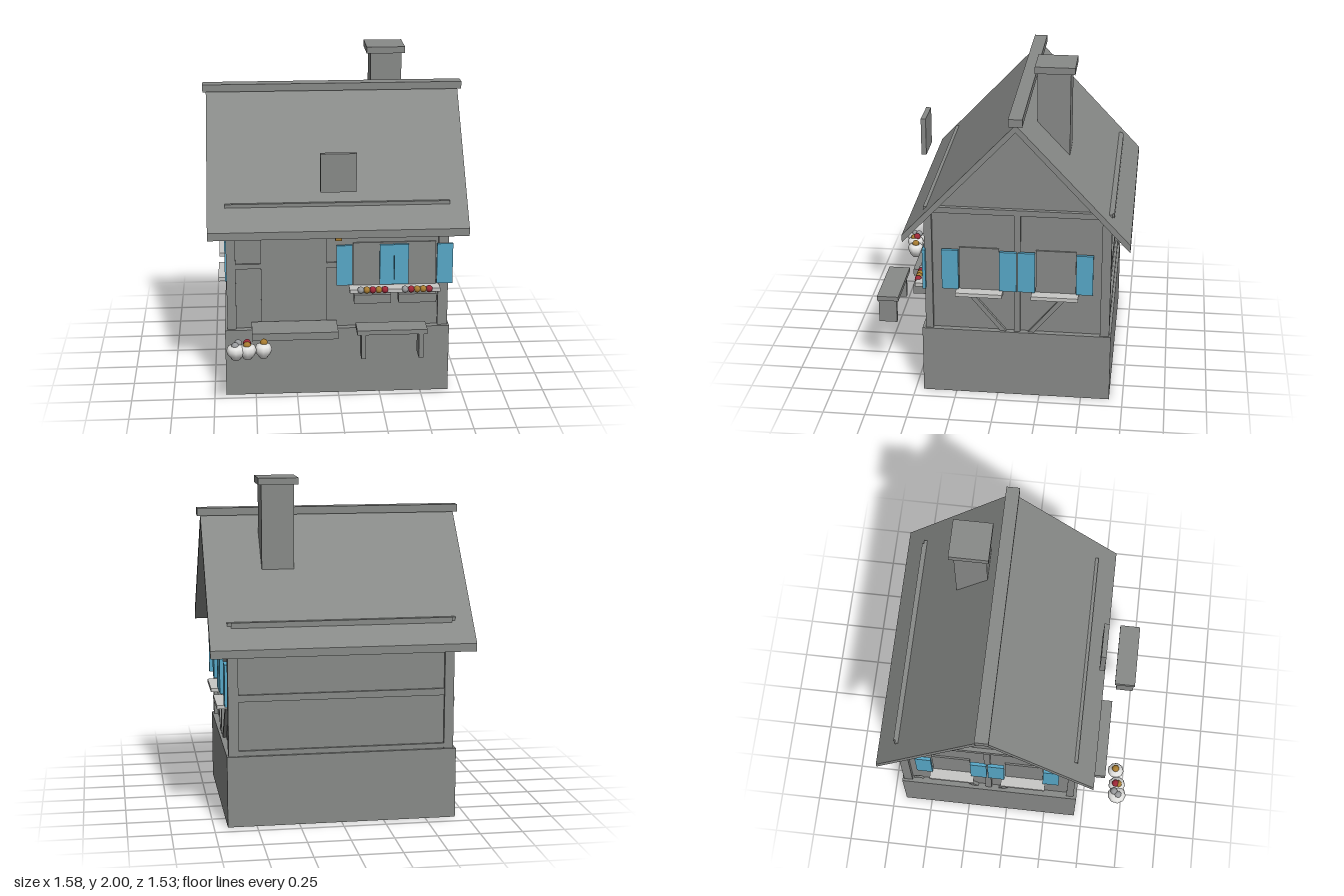
import * as THREE from 'three';

const mat = (name, color, extra = {}) => {
  const m = new THREE.MeshStandardMaterial({ color, ...extra });
  m.name = name;
  return m;
};

export function createModel() {
  const house = new THREE.Group();
  house.name = 'house';
  const grey = mat('stoneGrey', 0x888a88, { side: THREE.DoubleSide });
  const blue = mat('shutterBlue', 0x58a8c8);
  const pale = mat('sillPale', 0xc8c8c6);
  const white = mat('potWhite', 0xe2e2e0, { side: THREE.DoubleSide });
  const red = mat('flowerRed', 0xa02838);
  const gold = mat('flowerGold', 0xa87c30);
  const silver = mat('flowerGrey', 0x9a9c9e);

  const add = (name, geo, material) => {
    const m = new THREE.Mesh(geo, material);
    m.name = name;
    house.add(m);
    return m;
  };
  // Box given by its limits on each axis
  const box = (name, material, x0, x1, y0, y1, z0, z1) => {
    const m = add(name, new THREE.BoxGeometry(x1 - x0, y1 - y0, z1 - z0), material);
    m.position.set((x0 + x1) / 2, (y0 + y1) / 2, (z0 + z1) / 2);
    return m;
  };
  // Side profile given as [z, y] points, extruded along x
  const profile = (name, material, pts, x0, x1) => {
    const shape = new THREE.Shape(pts.map(([z, y]) => new THREE.Vector2(-z, y)));
    const geo = new THREE.ExtrudeGeometry(shape, { depth: x1 - x0, bevelEnabled: false });
    geo.rotateY(Math.PI / 2).translate(x0, 0, 0);
    return add(name, geo, material);
  };
  const ball = (name, material, r, x, y, z) =>
    add(name, new THREE.SphereGeometry(r, 10, 8), material).position.set(x, y, z);

  const MID = -0.115; // z of the ridge

  // Foundation, open underneath
  const base = box('foundation', grey, -0.68, 0.67, 0, 0.42, -0.67, 0.45);
  const idx = Array.from(base.geometry.index.array);
  idx.splice(18, 6);
  base.geometry.setIndex(idx);
  base.geometry.clearGroups();

  // Walls with gables
  profile('walls', grey, [[0.41, 0.42], [0.41, 1.155], [MID, 1.72], [-0.64, 1.155], [-0.64, 0.42]], -0.64, 0.635);

  // Roof
  profile('roof', grey, [[0.54, 1.02], [0.54, 1.067], [MID, 1.765], [-0.77, 1.067], [-0.77, 1.02], [MID, 1.72]], -0.77, 0.765);
  box('ridgeCap', grey, -0.79, 0.785, 1.76, 1.805, -0.155, -0.075);
  box('roofPanel', grey, -0.11, 0.1, 1.3, 1.53, 0.5, 0.53);

  // Chimney
  box('chimney', grey, 0.24, 0.43, 1.4, 1.97, -0.395, -0.205);
  box('chimneyCap', grey, 0.215, 0.45, 1.96, 2, -0.42, -0.19);

  // Wall plates that come out through the roof
  for (const [z0, z1, e0, e1] of [[0.4, 0.43, 0.4, 0.41], [-0.67, -0.64, -0.645, -0.635]]) {
    box('wallPlate', grey, -0.645, 0.637, 1.17, 1.205, z0, z1);
    box('wallPlateEnds', grey, -0.665, 0.66, 1.185, 1.205, e0, e1);
  }

  // Corner posts
  for (const [x0, x1] of [[-0.645, -0.61], [0.6, 0.64]]) {
    box('cornerPost', grey, x0, x1, 0.42, 1.17, 0.4, 0.43);
    box('cornerPost', grey, x0, x1, 0.42, 1.17, -0.66, -0.63);
  }

  // Back timber
  box('backRail', grey, -0.61, 0.6, 0.74, 0.78, -0.655, -0.63);
  box('backSill', grey, -0.61, 0.6, 0.42, 0.45, -0.655, -0.63);

  // Timber, windows and shutters on both gable sides
  for (const s of [-1, 1]) {
    const side = (name, m, a, b, y0, y1, z0, z1) => {
      const off = s < 0 ? 0.005 : 0;
      const p = s * (a + off), q = s * (b + off);
      return box(name, m, Math.min(p, q), Math.max(p, q), y0, y1, z0, z1);
    };
    side('gableBeam', grey, 0.62, 0.66, 1.17, 1.205, -0.66, 0.43);
    side('sidePost', grey, 0.62, 0.66, 0.42, 1.17, 0.385, 0.43);
    side('sidePost', grey, 0.62, 0.66, 0.42, 1.17, -0.66, -0.605);
    side('sidePost', grey, 0.62, 0.655, 0.42, 1.17, -0.133, -0.095);
    for (const d of [-1, 1]) {
      const span = (name, m, a, b, y0, y1, u, v) => {
        const p = MID + d * u, q = MID + d * v;
        return side(name, m, a, b, y0, y1, Math.min(p, q), Math.max(p, q));
      };
      span('sideWindow', grey, 0.63, 0.645, 0.68, 0.95, 0.108, 0.342);
      span('sideShutter', blue, 0.65, 0.67, 0.69, 0.94, 0.004, 0.104);
      span('sideShutter', blue, 0.65, 0.67, 0.69, 0.94, 0.345, 0.443);
      span('sideSill', pale, 0.63, 0.71, 0.66, 0.683, 0.085, 0.36);
      // Slanted brace under the sill
      profile('brace', grey,
        [[0.1, 0.42], [0.3, 0.66], [0.265, 0.66], [0.065, 0.42]].map(([u, y]) => [MID + d * u, y]),
        s > 0 ? 0.62 : -0.66, s > 0 ? 0.655 : -0.62);
    }
  }

  // Small tap hoop near the back corner
  const hoop = add('hoop', new THREE.TorusGeometry(0.025, 0.008, 6, 10, Math.PI), grey);
  hoop.rotation.y = Math.PI / 2;
  hoop.position.set(-0.66, 0.47, -0.56);

  // Door, its frame rails and step
  box('door', grey, -0.46, -0.07, 0.42, 1.17, 0.4, 0.42);
  box('frontRail', grey, -0.61, -0.46, 0.8, 0.83, 0.4, 0.425);
  box('frontRail', grey, -0.07, 0, 0.8, 0.83, 0.4, 0.425);
  box('doorStep', grey, -0.52, -0.01, 0.42, 0.465, 0.43, 0.62);
  box('doorLamp', grey, -0.02, 0.02, 0.985, 1.06, 0.44, 0.475);
  box('doorLampFront', gold, -0.02, 0.02, 0.985, 1.06, 0.475, 0.481);

  // Front window with shutters, sill and planters
  box('frontWindow', grey, 0.09, 0.585, 0.68, 0.95, 0.4, 0.42);
  for (const [x0, x1] of [[-0.01, 0.085], [0.248, 0.333], [0.335, 0.42], [0.59, 0.685]])
    box('frontShutter', blue, x0, x1, 0.69, 0.94, 0.422, 0.44);
  box('frontSill', pale, 0.065, 0.605, 0.66, 0.682, 0.41, 0.5);
  const rows = [[0.09, 0.31, 0.13, [silver, gold, red, gold, red]], [0.355, 0.58, 0.395, [silver, red, gold, gold, red]]];
  for (const [x0, x1, start, flowers] of rows) {
    box('planter', grey, x0, x1, 0.6, 0.655, 0.44, 0.515);
    flowers.forEach((m, i) => ball('flower', m, 0.021, start + i * 0.036, 0.677, 0.492));
  }

  // Bench
  box('benchSeat', grey, 0.09, 0.5, 0.497, 0.525, 0.625, 0.755);
  for (const x of [0.115, 0.452])
    box('benchLeg', grey, x, x + 0.027, 0.345, 0.5, 0.64, 0.75);

  // Round flower pots
  const pot = [[0, -0.055], [0.022, -0.048], [0.045, -0.015], [0.054, 0.012], [0.046, 0.036], [0.022, 0.047], [0, 0.05]]
    .map(([r, y]) => new THREE.Vector2(r, y));
  for (const [x, y, z, k] of [[-0.615, 0.39, 0.705, 1.08], [-0.548, 0.39, 0.7, 1], [-0.455, 0.388, 0.685, 0.95]]) {
    const p = add('flowerPot', new THREE.LatheGeometry(pot, 9), white);
    p.position.set(x, y, z);
    p.scale.set(k, 0.95, k);
  }
  ball('potFlower', silver, 0.023, -0.602, 0.437, 0.685);
  ball('potFlower', silver, 0.023, -0.62, 0.43, 0.712);
  ball('potFlower', red, 0.023, -0.55, 0.44, 0.69);
  ball('potFlower', gold, 0.023, -0.55, 0.432, 0.708);
  ball('potFlower', gold, 0.023, -0.452, 0.436, 0.682);

  return house;
}
